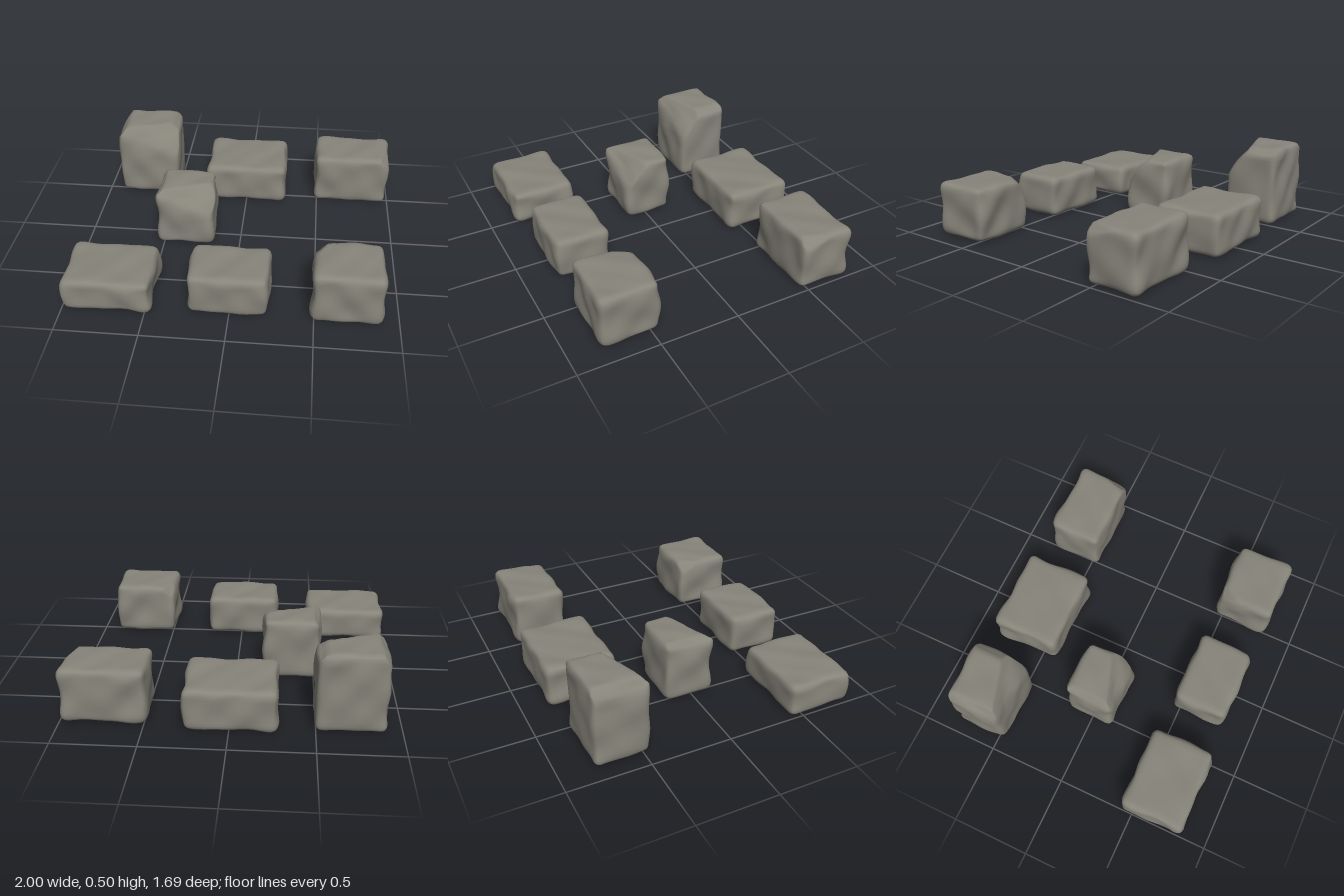
import * as THREE from 'three';
import { mergeVertices } from 'three/addons/utils/BufferGeometryUtils.js';

const stone = new THREE.MeshStandardMaterial({ color: 0x87847a });
stone.name = 'stoneGrey';

// Smooth wobble in three directions, different for every stone
function wobble(x, y, z, s) {
  return 0.45 * Math.sin(13 * x + 9 * y + 1.7 * s) * Math.cos(15 * z - 8 * y + 2.3 * s)
    + 0.35 * Math.sin(24 * y - 11 * z + 3.1 * s) * Math.cos(17 * x + 0.9 * s)
    + 0.25 * Math.sin(29 * x + 23 * z + 19 * y + 4.7 * s);
}

// Rounded block, chipped by planes, worn unevenly, then fitted to its size
function stoneGeometry(size, seed, chips) {
  const half = size.clone().multiplyScalar(0.5);
  const r = 0.045;
  const inner = half.clone().subScalar(r);
  let geo = new THREE.BoxGeometry(2, 2, 2, 18, 16, 18);
  geo.deleteAttribute('normal');
  geo.deleteAttribute('uv');
  geo = mergeVertices(geo, 1e-4);
  const pos = geo.attributes.position;
  const p = new THREE.Vector3(), core = new THREE.Vector3(), dir = new THREE.Vector3();
  const crowd = t => Math.sin(t * Math.PI / 2); // more rows near the edges
  for (let i = 0; i < pos.count; i++) {
    p.fromBufferAttribute(pos, i);
    p.set(crowd(p.x), crowd(p.y), crowd(p.z)).multiply(half);
    core.copy(p).clamp(inner.clone().negate(), inner);
    dir.copy(p).sub(core).normalize();
    p.copy(core).addScaledVector(dir, r);
    for (const [nx, ny, nz, d] of chips) {
      const n = new THREE.Vector3(nx, ny, nz).normalize();
      const over = p.dot(n) - d;
      if (over > 0) p.addScaledVector(n, -over);
    }
    // Flanks wear more than the top and bottom
    const amount = 0.017 - 0.009 * Math.abs(dir.y);
    p.addScaledVector(dir, amount * wobble(p.x, p.y, p.z, seed));
    pos.setXYZ(i, p.x, p.y, p.z);
  }
  geo.computeBoundingBox();
  const box = geo.boundingBox;
  const centre = box.getCenter(new THREE.Vector3());
  const span = box.getSize(new THREE.Vector3());
  geo.translate(-centre.x, -centre.y, -centre.z);
  geo.scale(size.x / span.x, size.y / span.y, size.z / span.z);
  geo.computeVertexNormals();
  return geo;
}

// name, x range, z range, height, chips as plane normal and distance
const stones = [
  ['backRightTallStone', -0.92, -0.48, -0.81, -0.44, 0.51,
    [[0.25, 0.6, 0.76, 0.215], [-0.75, 0.65, 0, 0.285], [0.6, 0.8, 0, 0.295]]],
  ['backMiddleStone', -0.29, 0.28, -0.85, -0.39, 0.28, []],
  ['backLeftStone', 0.47, 1.0, -0.81, -0.44, 0.36, [[0.7, 0.7, 0.2, 0.29]]],
  ['middleStone', -0.55, -0.16, -0.19, 0.15, 0.41,
    [[0.25, 0.66, 0.71, 0.18], [-0.7, 0.7, 0, 0.25]]],
  ['frontRightStone', -1.0, -0.45, 0.41, 0.84, 0.225, []],
  ['frontMiddleStone', -0.26, 0.24, 0.44, 0.81, 0.28, []],
  ['frontLeftStone', 0.47, 0.91, 0.43, 0.82, 0.355, [[-0.6, 0.65, -0.4, 0.265]]],
];

export function createModel() {
  const group = new THREE.Group();
  group.name = 'scatteredStones';
  stones.forEach(([name, x0, x1, z0, z1, top, chips], i) => {
    const size = new THREE.Vector3(x1 - x0, top - 0.005, z1 - z0);
    const mesh = new THREE.Mesh(stoneGeometry(size, i + 1, chips), stone);
    mesh.name = name;
    mesh.position.set((x0 + x1) / 2, (top + 0.005) / 2, (z0 + z1) / 2);
    group.add(mesh);
  });
  return group;
}
